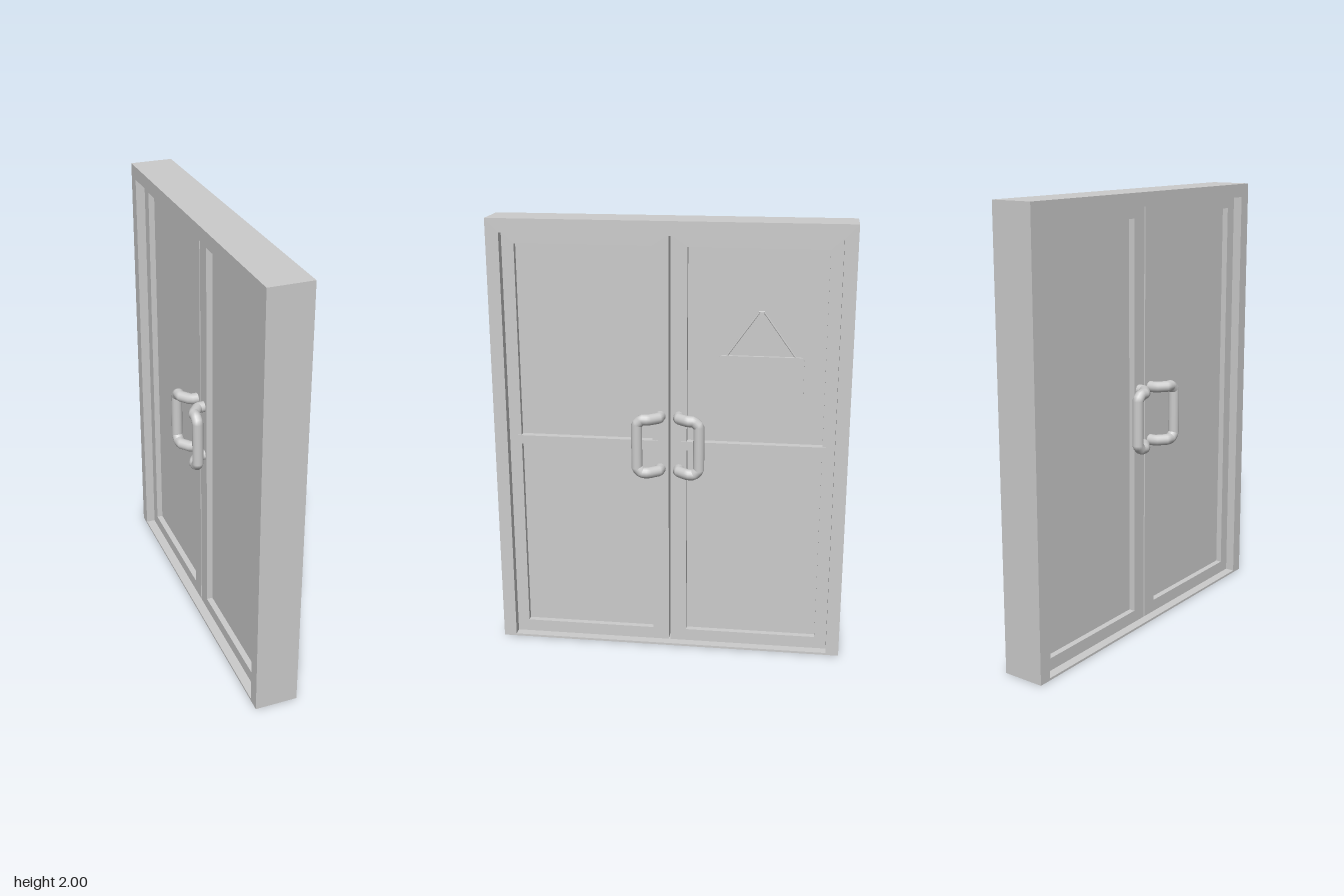
import * as THREE from 'three';

const grey = new THREE.MeshStandardMaterial({ color: 0xcccccc });

function mesh(name, geometry, parent) {
  const m = new THREE.Mesh(geometry, grey);
  m.name = name;
  parent.add(m);
  return m;
}

function box(name, x0, x1, y0, y1, z0, z1, parent) {
  const g = new THREE.BoxGeometry(x1 - x0, y1 - y0, z1 - z0);
  g.translate((x0 + x1) / 2, (y0 + y1) / 2, (z0 + z1) / 2);
  return mesh(name, g, parent);
}

function trace(path, z0, z1, y0, y1) {
  path.moveTo(z0, y0);
  path.lineTo(z1, y0);
  path.lineTo(z1, y1);
  path.lineTo(z0, y1);
  path.closePath();
  return path;
}

// Extrudes a shape drawn in (z, y) along x, centred on the given x
function slab(shape, x, thickness) {
  const g = new THREE.ExtrudeGeometry(shape, { depth: thickness, bevelEnabled: false, curveSegments: 6 });
  g.translate(0, 0, -thickness / 2);
  g.rotateY(-Math.PI / 2);
  g.translate(x, 0, 0);
  return g;
}

// Rectangular ring: outer and inner are [z0, z1, y0, y1]
function ring(outer, inner, thickness) {
  const shape = trace(new THREE.Shape(), ...outer);
  shape.holes.push(trace(new THREE.Path(), ...inner));
  return slab(shape, 0, thickness);
}

// Pull handle: tube with chamfered corners, sx and sz pick face and door
function handleGeometry(sx, sz) {
  const half = [
    [0.045, 1.125, 0.042], [0.085, 1.125, 0.044], [0.12, 1.125, 0.088],
    [0.12, 1.125, 0.118], [0.12, 1.103, 0.14],
  ];
  const points = [...half, ...half.map(([x, y, z]) => [x, 2 - y, z]).reverse()]
    .map(([x, y, z]) => new THREE.Vector3(x * sx, y, z * sz));
  const path = new THREE.CurvePath();
  for (let i = 1; i < points.length; i++) path.add(new THREE.LineCurve3(points[i - 1], points[i]));
  return new THREE.TubeGeometry(path, 72, 0.025, 16);
}

// Thin cord between two points
function cord(a, b, radius, parent) {
  mesh('signCord', new THREE.TubeGeometry(new THREE.LineCurve3(a, b), 1, radius, 8), parent);
}

export function createModel() {
  const model = new THREE.Group();
  model.name = 'doubleDoor';

  // Outer frame around both leaves
  mesh('frame', ring([-0.8, 0.8, 0, 2], [-0.741, 0.741, 0.01, 1.938], 0.196), model);

  // Two mirrored leaves, each with a recessed panel, push bar and handles
  for (const s of [1, -1]) {
    const door = new THREE.Group();
    door.name = s > 0 ? 'leftDoor' : 'rightDoor';
    model.add(door);
    const span = (a, b) => (s > 0 ? [a, b] : [-b, -a]);

    mesh('doorFrame', ring([...span(0.004, 0.741), 0.01, 1.938], [...span(0.078, 0.686), 0.067, 1.887], 0.11), door);
    box('panel', -0.027, 0.027, 0.067, 1.887, ...span(0.078, 0.686), door);
    box('pushBar', 0.02, 0.062, 0.97, 1.01, ...span(0.052, 0.702), door);
    mesh('outerHandle', handleGeometry(1, s), door);
    mesh('innerHandle', handleGeometry(-1, s), door);
  }

  // Hanging sign on the right leaf
  const sign = new THREE.Group();
  sign.name = 'hangingSign';
  model.add(sign);

  const [z0, z1, y0, y1, r] = [-0.592, -0.216, 1.214, 1.41, 0.022];
  const board = new THREE.Shape();
  board.moveTo(z0 + r, y0);
  board.lineTo(z1 - r, y0);
  board.quadraticCurveTo(z1, y0, z1, y0 + r);
  board.lineTo(z1, y1 - r);
  board.quadraticCurveTo(z1, y1, z1 - r, y1);
  board.lineTo(z0 + r, y1);
  board.quadraticCurveTo(z0, y1, z0, y1 - r);
  board.lineTo(z0, y0 + r);
  board.quadraticCurveTo(z0, y0, z0 + r, y0);
  mesh('signBoard', slab(board, 0.034, 0.016), sign);

  // Peg and the cords looped over it
  const peg = new THREE.CylinderGeometry(0.012, 0.012, 0.025, 16);
  peg.rotateZ(Math.PI / 2);
  peg.translate(0.034, 1.597, -0.402);
  mesh('signPeg', peg, sign);
  for (const s of [1, -1]) {
    cord(new THREE.Vector3(0.033, 1.405, -0.403 + s * 0.154), new THREE.Vector3(0.033, 1.606, -0.402 + s * 0.011), 0.004, sign);
  }
  cord(new THREE.Vector3(0.033, 1.608, -0.415), new THREE.Vector3(0.033, 1.608, -0.389), 0.004, sign);

  return model;
}
